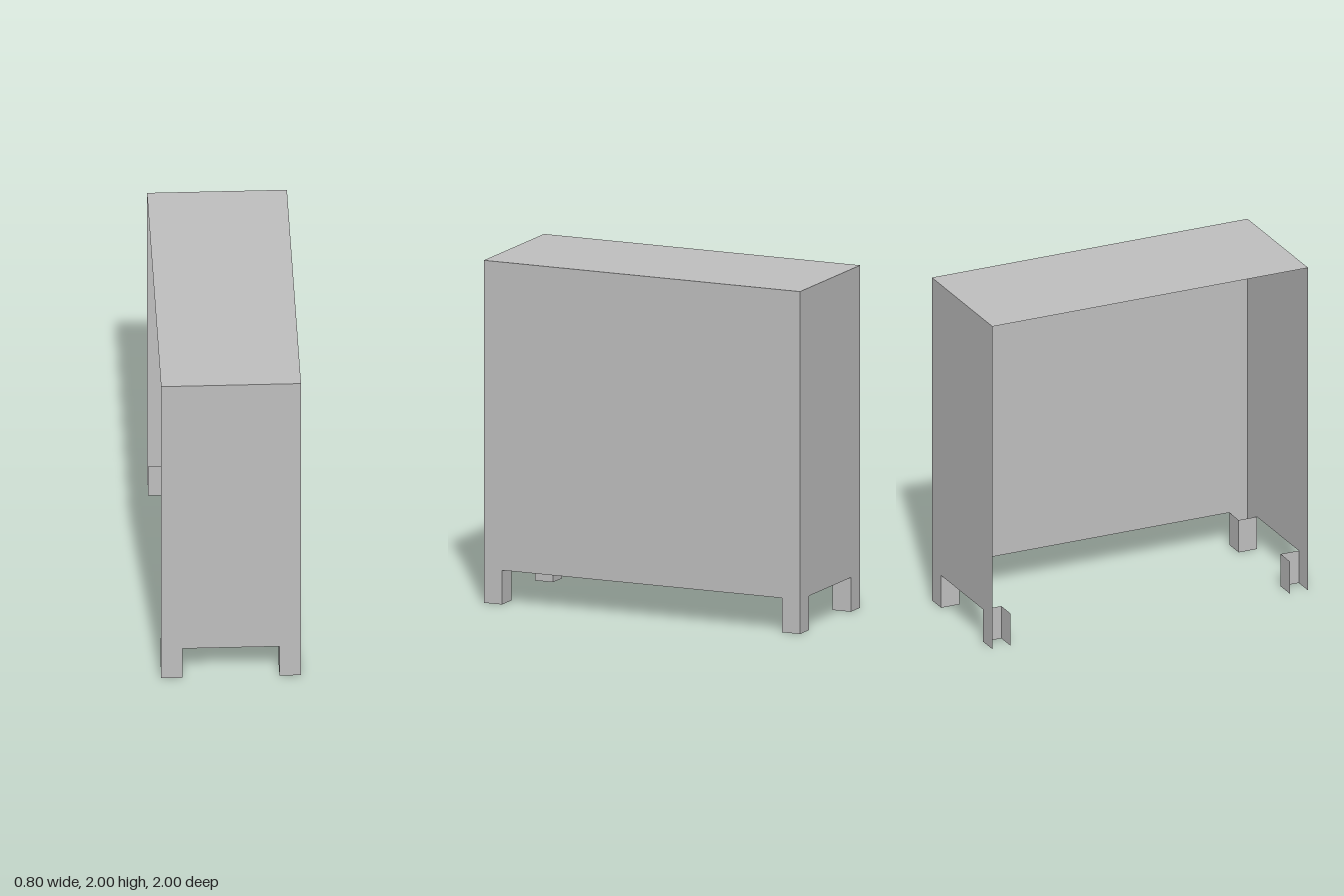
import * as THREE from 'three';

const W = 0.4, D = 1, H = 2;            // half width, half depth, height
const FOOT_X = 0.277, FOOT_Z = 0.885;   // inner faces of the feet
const FOOT_H = 0.2;

// Upright sheet with a foot left standing at each end
function panelGeometry(half, inner) {
  const s = new THREE.Shape();
  s.moveTo(-half, 0);
  s.lineTo(-inner, 0);
  s.lineTo(-inner, FOOT_H);
  s.lineTo(inner, FOOT_H);
  s.lineTo(inner, 0);
  s.lineTo(half, 0);
  s.lineTo(half, H);
  s.lineTo(-half, H);
  s.closePath();
  return new THREE.ShapeGeometry(s);
}

export function createModel() {
  const group = new THREE.Group();
  const grey = new THREE.MeshStandardMaterial({ color: 0xbfbfbf, side: THREE.DoubleSide });
  grey.name = 'grey sheet';

  const add = (name, geometry, x, y, z, parent = group) => {
    const mesh = new THREE.Mesh(geometry, grey);
    mesh.name = name;
    mesh.position.set(x, y, z);
    parent.add(mesh);
    return mesh;
  };

  // Shell: top, end panels and one side; the -x side and underside are open
  const endPanel = panelGeometry(W, FOOT_X);
  add('frontPanel', endPanel, 0, 0, D);
  add('backPanel', endPanel, 0, 0, -D).rotation.y = Math.PI;
  add('sidePanel', panelGeometry(D, FOOT_Z), W, 0, 0).rotation.y = Math.PI / 2;
  add('topPanel', new THREE.PlaneGeometry(2 * W, 2 * D), 0, H, 0).rotation.x = -Math.PI / 2;

  // Inner walls of the hollow feet
  const across = new THREE.PlaneGeometry(W - FOOT_X, FOOT_H);
  const along = new THREE.PlaneGeometry(D - FOOT_Z, FOOT_H);
  for (const sx of [1, -1]) {
    for (const sz of [1, -1]) {
      const foot = new THREE.Group();
      foot.name = (sz > 0 ? 'front' : 'back') + (sx > 0 ? 'Left' : 'Right') + 'Foot';
      add('footCrossWall', across, sx * (W + FOOT_X) / 2, FOOT_H / 2, sz * FOOT_Z, foot)
        .rotation.y = sz > 0 ? Math.PI : 0;
      add('footLengthWall', along, sx * FOOT_X, FOOT_H / 2, sz * (D + FOOT_Z) / 2, foot)
        .rotation.y = -sx * Math.PI / 2;
      group.add(foot);
    }
  }
  return group;
}
